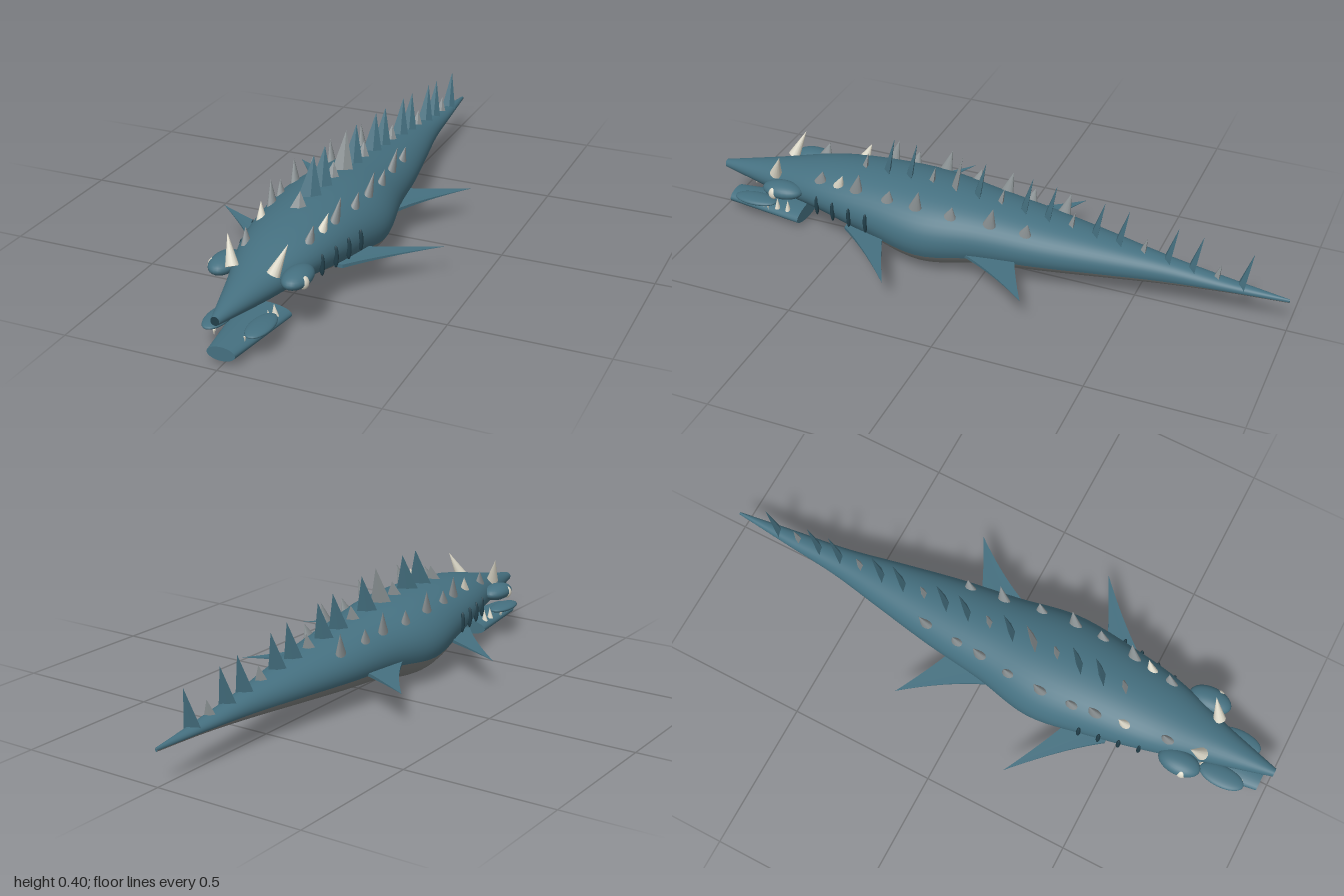
import * as THREE from 'three';

const mat = (name, color, side = THREE.FrontSide) => {
  const m = new THREE.MeshStandardMaterial({ color, side });
  m.name = name;
  return m;
};

export function createModel() {
  const model = new THREE.Group();
  model.name = 'seaBeast';
  const skin = mat('teal skin', 0x457080);
  const bellyMat = mat('belly grey', 0x7f8280);
  const plate = mat('plate grey', 0x8b9294);
  const bone = mat('bone', 0xdcd8c8);
  const dark = mat('dark slit', 0x213e49);

  const add = (name, geo, material, pos = [0, 0, 0], scale = [1, 1, 1], rot = [0, 0, 0]) => {
    const m = new THREE.Mesh(geo, material);
    m.name = name;
    m.position.set(...pos);
    m.scale.set(...scale);
    m.rotation.set(...rot);
    model.add(m);
    return m;
  };

  // Body profile: half width, top and bottom at even steps from tail to snout
  const stations = [
    [0.004, 0.125, 0.112], [0.028, 0.147, 0.105], [0.05, 0.175, 0.088], [0.088, 0.205, 0.07],
    [0.125, 0.232, 0.052], [0.153, 0.257, 0.035], [0.19, 0.277, 0.004], [0.168, 0.28, 0.052],
    [0.13, 0.262, 0.1], [0.07, 0.218, 0.116], [0.014, 0.174, 0.146],
  ];
  const profile = new THREE.CatmullRomCurve3(
    stations.map((s) => new THREE.Vector3(...s)), false, 'catmullrom', 0.5);
  const section = (z) => {
    const p = profile.getPoint((z + 1) / 2);
    return { w: p.x, top: p.y, cy: (p.y + p.z) / 2, h: (p.y - p.z) / 2 };
  };
  const surfaceY = (x, z) => {
    const s = section(z);
    return s.cy + s.h * Math.sqrt(Math.max(0, 1 - (x / s.w) ** 2));
  };
  // Half angle of the belly band, narrowing under the head
  const bellyAngle = (z) => THREE.MathUtils.lerp(1.2, 0.7, THREE.MathUtils.smoothstep(z, 0.3, 0.7));

  const bodyStrip = (name, material, range, segs) => {
    const rings = 60, pos = [], idx = [];
    for (let j = 0; j <= rings; j++) {
      const z = -1 + (2 * j) / rings, s = section(z), [a0, a1] = range(z);
      for (let i = 0; i <= segs; i++) {
        const a = a0 + ((a1 - a0) * i) / segs;
        pos.push(s.w * Math.cos(a), s.cy + s.h * Math.sin(a), z);
        if (i < segs && j < rings) {
          const k = j * (segs + 1) + i, n = k + segs + 1;
          idx.push(k, k + 1, n, k + 1, n + 1, n);
        }
      }
    }
    const g = new THREE.BufferGeometry();
    g.setAttribute('position', new THREE.Float32BufferAttribute(pos, 3));
    g.setIndex(idx);
    g.computeVertexNormals();
    add(name, g, material);
  };
  const down = -Math.PI / 2;
  bodyStrip('back', skin, (z) => [down + bellyAngle(z), down + 2 * Math.PI - bellyAngle(z)], 30);
  bodyStrip('belly', bellyMat, (z) => [down - bellyAngle(z), down + bellyAngle(z)], 14);
  add('snoutTip', new THREE.CircleGeometry(1, 20), dark, [0, 0.16, 1], [0.014, 0.014, 1]);
  add('tailTip', new THREE.CircleGeometry(1, 12), skin, [0, 0.1185, -1], [0.004, 0.0065, 1], [0, Math.PI, 0]);

  // Cones rise from y = 0 so they can be placed by their base
  const spike = new THREE.ConeGeometry(1, 1, 12).translate(0, 0.5, 0);
  const blade = new THREE.ConeGeometry(1, 1, 4).toNonIndexed().translate(0, 0.5, 0);
  blade.computeVertexNormals();
  const ball = new THREE.SphereGeometry(1, 24, 16);

  // Row of slanted blades along the spine, every third one short
  for (let i = 0; i < 17; i++) {
    const z = 0.46 - i * 0.0815, short = i % 3 === 0;
    const width = (short ? 0.03 : 0.04) * (1 - i * 0.022);
    add('spineBlade', blade, short || i === 4 ? plate : skin,
      [0, section(z).top - 0.012, z], [width, short ? 0.062 : 0.138, 0.012], [-0.24, 0.55, 0]);
  }

  // Fins: half outline in x and z, with a curved leading edge
  const fin = (root, tip, trail, bend) => {
    const s = new THREE.Shape();
    s.moveTo(0.08, -root);
    s.lineTo(0.15, -root);
    s.quadraticCurveTo(bend[0], -bend[1], tip[0], -tip[1]);
    s.quadraticCurveTo((tip[0] + trail[0]) / 2 - 0.01, -(tip[1] + trail[1]) / 2 - 0.01, trail[0], -trail[1]);
    s.lineTo(0.08, -trail[1]);
    const g = new THREE.ExtrudeGeometry(s, { depth: 0.014, bevelEnabled: false, curveSegments: 10 });
    g.rotateX(-Math.PI / 2);
    // Thin the fin towards its tip
    const p = g.attributes.position;
    for (let i = 0; i < p.count; i++) {
      const t = THREE.MathUtils.clamp((tip[0] - p.getX(i)) / (tip[0] - 0.1), 0.08, 1);
      p.setY(i, (p.getY(i) - 0.007) * t);
    }
    g.computeVertexNormals();
    return g;
  };
  const frontFin = fin(0.47, [0.385, 0.22], [0.165, 0.325], [0.23, 0.36]);
  const rearFin = fin(0.04, [0.312, -0.22], [0.13, -0.13], [0.2, -0.08]);
  const mirror = (g) => {
    const m = g.clone().toNonIndexed().scale(-1, 1, 1), p = m.attributes.position;
    for (let i = 0; i < p.count; i += 3) {
      const a = [p.getX(i), p.getY(i), p.getZ(i)];
      p.setXYZ(i, p.getX(i + 1), p.getY(i + 1), p.getZ(i + 1));
      p.setXYZ(i + 1, ...a);
    }
    m.computeVertexNormals();
    return m;
  };

  for (const s of [1, -1]) {
    const side = s > 0 ? 'left' : 'right';
    add(side + 'FrontFin', s > 0 ? frontFin : mirror(frontFin), skin, [0, 0.112, 0]);
    add(side + 'RearFin', s > 0 ? rearFin : mirror(rearFin), skin, [0, 0.114, 0]);

    // Row of back spikes on each flank, slightly staggered
    const rows = s > 0 ? [0.58, 0.44, 0.32, 0.22, 0.1, -0.03, -0.15] : [0.65, 0.41, 0.33, 0.22, 0.1, -0.01, -0.1, -0.22];
    rows.forEach((z, i) => {
      const x = s * Math.min(0.125, section(z).w * 0.68);
      add(side + 'FlankSpike', spike, plate, [x, surfaceY(x, z) - 0.012, z],
        [0.015, i % 2 ? 0.085 : 0.055, 0.025], [-0.25, 0, -s * 0.16]);
    });
    add(side + 'ShoulderHorn', spike, bone, [s * 0.1, surfaceY(0.1, 0.51) - 0.012, 0.51],
      [0.016, 0.06, 0.02], [-0.4, 0, -s * 0.2]);

    // Brow horn and bulging eye
    add(side + 'BrowHorn', spike, bone, [s * 0.066, 0.208, 0.768], [0.021, 0.1, 0.021], [-0.4, 0, -s * 0.32]);
    add(side + 'EyeSocket', ball, skin, [s * 0.118, 0.187, 0.715], [0.043, 0.028, 0.072]);
    add(side + 'Eye', ball, bone, [s * 0.146, 0.184, 0.735], [0.016, 0.021, 0.018]);

    // Gill slits
    for (let i = 0; i < 4; i++) {
      const z = 0.58 - i * 0.066, c = section(z);
      const dy = THREE.MathUtils.clamp((0.165 - c.cy) / c.h, -1, 1);
      add(side + 'Gill', ball, dark, [s * c.w * Math.sqrt(1 - dy * dy), 0.165, z], [0.009, 0.036, 0.007]);
    }

    // Lip pad with small teeth, and two tusks on the lower jaw
    add(side + 'LipPad', ball, skin, [s * 0.068, 0.087, 0.855], [0.037, 0.013, 0.078]);
    for (let i = 0; i < 7; i++) {
      add(side + 'Tooth', spike, bone, [s * (0.085 - i * 0.006), 0.082, 0.8 + i * 0.02],
        [0.004, 0.018, 0.004], [Math.PI, 0, 0]);
    }
    for (const z of [0.74, 0.78]) {
      add(side + 'Tusk', spike, bone, [s * 0.055, 0.058, z], [0.012, 0.04, 0.009], [0, 0, s * 0.08]);
    }
  }
  add('snoutTooth', spike, bone, [-0.036, 0.147, 0.86], [0.007, 0.03, 0.007], [Math.PI, 0, -0.2]);

  // Lower jaw: flattened, tapering towards the front
  const jaw = new THREE.CylinderGeometry(0.045, 0.085, 0.285, 32).rotateX(Math.PI / 2);
  const jp = jaw.attributes.position;
  for (let i = 0; i < jp.count; i++) {
    const front = jp.getZ(i) > 0;
    jp.setY(i, jp.getY(i) * (front ? 0.022 / 0.045 : 0.027 / 0.085));
  }
  jaw.computeVertexNormals();
  add('lowerJaw', jaw, skin, [0, 0.043, 0.832]);

  return model;
}
